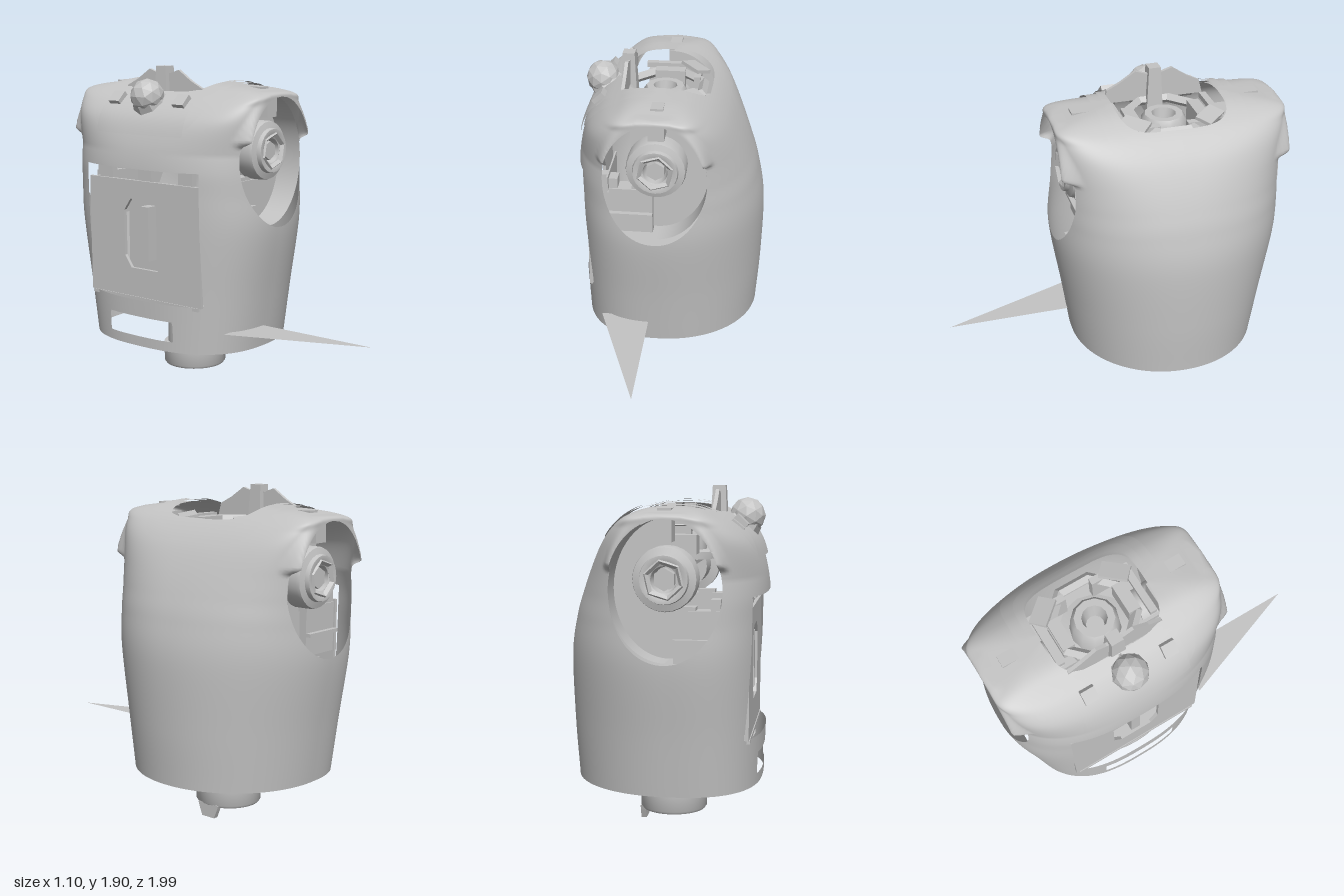
import * as THREE from 'three';
import { mergeVertices, toCreasedNormals } from 'three/addons/utils/BufferGeometryUtils.js';

const V = (x, y, z) => new THREE.Vector3(x, y, z);
const X0 = -0.05; // where the front and back halves of each section meet

// Body sections: y, front x, back x, half width, roundness exponent
const SECTIONS = [
  [0.28, 0.52, -0.525, 0.565, 2.05], [0.6, 0.54, -0.535, 0.612, 2.05], [0.98, 0.545, -0.545, 0.672, 2.1],
  [1.2, 0.508, -0.55, 0.675, 2.25], [1.34, 0.462, -0.55, 0.675, 2.4], [1.48, 0.4, -0.525, 0.672, 2.8],
  [1.6, 0.33, -0.475, 0.668, 3.6], [1.69, 0.25, -0.385, 0.665, 5], [1.75, 0.165, -0.28, 0.66, 7],
  [1.785, 0.08, -0.19, 0.5, 7], [1.8, -0.04, -0.06, 0.3, 6]];

// Superellipse distance, negative inside
const oval = (a, b, ra, rb, n) => Math.pow(Math.abs(a / ra) ** n + Math.abs(b / rb) ** n, 1 / n) - 1;
const shoulderHole = p => oval(p.x + 0.055, p.y - 1.37, 0.295, 0.37, 2);
const neckHole = p => p.y < 1.4 ? 1 : oval(p.x + 0.04, p.z, 0.26, 0.32, 4);
const collarArea = p => p.y < 1.4 ? -1 : -oval(p.x + 0.09, p.z, 0.41, 0.42, 6);
const insetArea = p => p.y < 1.4 ? -1 : -oval(p.x + 0.06, p.z, 0.33, 0.36, 5);
const rearArea = p => Math.min(-0.31 - p.x, 0.32 - Math.abs(p.z), p.y - 1.5);
const backRect = (y0, y1, w) => p => p.x > -0.3 ? 1 : Math.max(y0 - p.y, p.y - y1, Math.abs(p.z) - w);
const panelHole = backRect(0.56, 1.33, 0.42);
const slotHole = backRect(0.34, 0.46, 0.24);

// Cuts a polygon, keeping the part where f is positive
function clip(poly, f) {
  const out = [];
  poly.forEach((a, i) => {
    const b = poly[(i + 1) % poly.length], ka = f(a) > 0, kb = f(b) > 0;
    if (ka) out.push(a);
    if (ka !== kb) {
      let lo = 0, hi = 1;
      for (let k = 0; k < 12; k++) {
        const m = (lo + hi) / 2;
        if ((f(a.clone().lerp(b, m)) > 0) === ka) lo = m; else hi = m;
      }
      out.push(a.clone().lerp(b, (lo + hi) / 2));
    }
  });
  return out;
}

// Lofted body surface, cut by the given rules and optionally lifted outward
function shellGeometry(cuts, lift = 0) {
  const mk = f => new THREE.CatmullRomCurve3(SECTIONS.map(f), false, 'catmullrom', 0.5);
  const ca = mk(s => V(s[0], s[1], s[2])), cb = mk(s => V(s[0], s[3], s[4]));
  const rows = 100, cols = 144;
  const at = (i, j) => {
    const a = ca.getPoint(i / rows), b = cb.getPoint(i / rows);
    const t = (j % cols) / cols * Math.PI * 2, c = Math.cos(t), s = Math.sin(t);
    const n = c > 0 ? b.z : Math.max(b.z, 2.6);
    const ext = c > 0 ? a.y - X0 : X0 - a.z;
    const p = V(X0 + Math.sign(c) * ext * Math.abs(c) ** (2 / n), a.x, Math.sign(s) * b.y * Math.abs(s) ** (2 / n));
    // Upper rim of the shoulder opening flares out to a flat plane
    if (p.y < 1.77 && Math.abs(p.z) > 0.4) {
      const flare = THREE.MathUtils.smoothstep(p.y, 1.47, 1.51) * (1 - THREE.MathUtils.smoothstep(shoulderHole(p), 0.02, 0.16));
      p.z = THREE.MathUtils.lerp(p.z, Math.sign(p.z) * 0.67, flare);
    }
    return p;
  };
  const pos = [];
  for (let i = 0; i < rows; i++) for (let j = 0; j < cols; j++) {
    const a = at(i, j), b = at(i, j + 1), c = at(i + 1, j + 1), d = at(i + 1, j);
    for (const tri of [[a, d, c], [a, c, b]]) {
      let poly = tri;
      for (const f of cuts) if (poly.length) poly = clip(poly, f);
      for (let k = 1; k + 1 < poly.length; k++)
        for (const p of [poly[0], poly[k], poly[k + 1]]) pos.push(p.x + lift * Math.sign(p.x - X0) * 0.5, p.y + lift, p.z);
    }
  }
  const g = new THREE.BufferGeometry();
  g.setAttribute('position', new THREE.Float32BufferAttribute(pos, 3));
  const m = mergeVertices(g, 1e-5);
  m.computeVertexNormals();
  return m;
}

export function createModel() {
  const model = new THREE.Group();
  model.name = 'robotTorso';
  model.position.z = -0.325;
  const grey = new THREE.MeshStandardMaterial({ color: 0xc4c4c4, side: THREE.DoubleSide });
  grey.name = 'grey';

  const add = (name, geo, x = 0, y = 0, z = 0) => {
    const m = new THREE.Mesh(geo, grey);
    m.name = name;
    m.position.set(x, y, z);
    model.add(m);
    return m;
  };
  const box = (name, x0, x1, y0, y1, z0, z1) => add(name, new THREE.BoxGeometry(x1 - x0, y1 - y0, z1 - z0),
    (x0 + x1) / 2, (y0 + y1) / 2, (z0 + z1) / 2);
  const lathe = (pts, seg) => toCreasedNormals(
    new THREE.LatheGeometry(pts.map(p => new THREE.Vector2(...p)), seg), 0.7);
  // Plate drawn in z and y, with its thickness running towards -x
  const plate = (name, shape, depth, x) => {
    const g = new THREE.ExtrudeGeometry(shape, { depth, bevelEnabled: false });
    add(name, g.rotateY(-Math.PI / 2), x);
  };
  const polygon = (pts, Type = THREE.Shape) => new Type(pts.map(p => new THREE.Vector2(...p)));

  // Outer shell, collar layers round the neck and the raised rear pad
  add('bodyShell', shellGeometry([shoulderHole, neckHole, panelHole, slotHole]));
  add('neckCollar', shellGeometry([neckHole, collarArea], 0.01));
  add('collarInset', shellGeometry([neckHole, insetArea], 0.018));
  add('rearPad', shellGeometry([rearArea], 0.024));

  // Shoulder sockets, one on each side
  for (const s of [1, -1]) {
    const joint = add('shoulderJoint', lathe([[0, 0.5], [0.06, 0.5], [0.07, 0.6], [0.1, 0.615], [0.125, 0.615],
      [0.13, 0.59], [0.165, 0.58], [0.17, 0.56], [0.17, 0.47], [0.12, 0.46], [0.12, 0.25], [0, 0.25]], 24), -0.05, 1.43);
    joint.rotation.x = s * Math.PI / 2;
    const nut = add('jointNut', toCreasedNormals(new THREE.CylinderGeometry(0.055, 0.06, 0.08, 6), 0.3), -0.05, 1.43, s * 0.55);
    nut.rotation.x = Math.PI / 2;
    const ring = add('jointRing', toCreasedNormals(new THREE.TorusGeometry(0.1, 0.018, 4, 6), 0.2), -0.05, 1.43, s * 0.605);
    ring.rotation.z = 0.3;

    // Half cup closing the front of the socket
    const half = new THREE.Shape();
    half.moveTo(-0.08, 1.0).lineTo(-0.055, 1.0);
    half.absellipse(-0.055, 1.37, 0.295, 0.37, -Math.PI / 2, Math.PI / 2, false);
    half.lineTo(-0.08, 1.74);
    add('socketPlate', new THREE.ExtrudeGeometry(half, { depth: 0.01, bevelEnabled: false, curveSegments: 32 }), 0, 0, s * 0.44 - 0.005);
    const wall = new THREE.CylinderGeometry(1, 1, 0.16, 40, 1, true, 0, Math.PI);
    wall.rotateX(Math.PI / 2);
    wall.scale(0.295, 0.37, 1);
    add('socketWall', wall, -0.055, 1.37, s * 0.52);

    // Frame pieces visible behind the joint
    box('socketFrame', -0.34, -0.08, 0.98, 1.23, s * 0.46 - 0.03, s * 0.46 + 0.03);
    box('socketRib', -0.34, -0.08, 1.09, 1.11, s * 0.5 - 0.02, s * 0.5 + 0.02);
    box('socketRail', -0.33, -0.07, 1.23, 1.26, s * 0.45 - 0.05, s * 0.45 + 0.05);
    box('socketClip', -0.2, -0.1, 1.23, 1.28, s * 0.45 - 0.04, s * 0.45 + 0.04);
    box('socketClip', -0.33, -0.28, 1.26, 1.32, s * 0.45 - 0.04, s * 0.45 + 0.04);
    box('jointBracket', -0.2, -0.02, 1.55, 1.65, s * 0.4 - 0.06, s * 0.4 + 0.06);
    box('topBracket', -0.09, 0, 1.62, 1.74, s * 0.54 - 0.06, s * 0.54 + 0.06);
    box('topTab', -0.08, -0.01, 1.765, 1.79, s * 0.5 - 0.05, s * 0.5 + 0.05);
  }

  // Back panel with an oblong recess, and the bars around it
  const panel = polygon([[-0.42, 0.56], [0.42, 0.56], [0.42, 1.25], [-0.42, 1.25]]);
  panel.holes.push(polygon([[-0.15, 0.8], [-0.1, 0.73], [0.1, 0.73], [0.15, 0.8],
    [0.15, 1.07], [0.1, 1.14], [-0.1, 1.14], [-0.15, 1.07]], THREE.Path));
  plate('backPanel', panel, 0.02, -0.455);
  box('panelRecess', -0.4, -0.39, 0.7, 1.16, -0.18, 0.18);
  box('panelBar', -0.47, -0.4, 0.78, 1.1, -0.03, 0.03);
  box('panelLedge', -0.48, -0.42, 0.54, 0.56, -0.4, 0.4);
  for (const z of [-0.3, 0, 0.3]) box('panelLatch', -0.46, -0.42, 1.25, 1.34, z - 0.05, z + 0.05);

  // Neck joint inside the collar
  add('neckJoint', lathe([[0, 1.6], [0.05, 1.6], [0.07, 1.7], [0.11, 1.7], [0.13, 1.67], [0.14, 1.55],
    [0.2, 1.54], [0.2, 1.5], [0, 1.5]], 12), -0.06);
  add('neckFloor', new THREE.BoxGeometry(0.36, 0.03, 0.7), 0.02, 1.49);
  const octagon = add('neckRing', toCreasedNormals(new THREE.TorusGeometry(0.23, 0.03, 4, 8), 0.2), -0.05, 1.69);
  octagon.rotation.set(Math.PI / 2, 0, Math.PI / 8);
  for (const s of [1, -1]) {
    box('neckBlock', -0.14, 0.04, 1.6, 1.72, s * 0.2 - 0.035, s * 0.2 + 0.035);
    box('neckArm', -0.2, 0.1, 1.7, 1.73, s * 0.28 - 0.02, s * 0.28 + 0.02);
    box('neckPost', 0.1, 0.14, 1.55, 1.72, s * 0.14 - 0.06, s * 0.14 + 0.06);
    const cornerFlap = box('collarFlap', -0.07, 0.09, -0.01, 0.01, -0.05, 0.05);
    cornerFlap.position.set(0.1, 1.73, s * 0.22);
    cornerFlap.rotation.set(s * 0.3, s * 0.8, -0.3);
    const rearBlock = box('rearBlock', -0.04, 0.04, -0.05, 0.05, -0.04, 0.04);
    rearBlock.position.set(-0.39, 1.69, s * 0.24);
    rearBlock.rotation.z = 0.75;
  }

  // Rear collar wall with its peak, and the faceted knob behind it
  plate('rearWall', polygon([[-0.3, 1.7], [0.3, 1.7], [0.28, 1.78], [0.2, 1.82], [0.11, 1.88], [0.05, 1.86],
    [-0.05, 1.86], [-0.11, 1.88], [-0.2, 1.82], [-0.28, 1.78]]), 0.02, -0.26);
  const peak = add('rearPeak', toCreasedNormals(new THREE.CylinderGeometry(0.05, 0.07, 0.28, 4), 0.3), -0.27, 1.76, 0);
  peak.rotation.y = Math.PI / 4;
  add('rearKnob', toCreasedNormals(new THREE.IcosahedronGeometry(0.1, 1), 0.2), -0.425, 1.735);
  const knobBase = add('knobBase', toCreasedNormals(new THREE.CylinderGeometry(0.09, 0.12, 0.1, 8), 0.3), -0.4, 1.69);
  knobBase.rotation.z = 0.7;

  // Waist column, collar ring and stop tab
  add('waistColumn', lathe([[0, 0.1], [0.13, 0.1], [0.15, 0.07], [0.18, 0.065], [0.19, 0.08], [0.19, 0.195],
    [0.165, 0.2], [0.165, 0.5]], 40), -0.015);
  add('waistSocket', new THREE.TorusGeometry(0.09, 0.025, 6, 16), -0.015, 0.09).rotation.x = Math.PI / 2;
  plate('stopTab', polygon([[-0.075, 0.08], [-0.065, 0.05], [-0.045, 0], [0.045, 0], [0.065, 0.05], [0.075, 0.08]]), 0.03, 0.17);

  // Inner deck with ribs and small components
  const deck = new THREE.CylinderGeometry(1, 1, 0.02, 48);
  deck.scale(0.48, 1, 0.54);
  add('innerDeck', deck, 0, 0.5);
  for (let i = 0; i < 5; i++) box('deckRib', -0.3, 0.38, 0.45, 0.49, -0.32 + i * 0.16, -0.3 + i * 0.16);
  for (let i = 0; i < 4; i++) for (let j = 0; j < 3; j++)
    box('deckComponent', -0.34 + j * 0.07, -0.3 + j * 0.07, 0.42, 0.49, -0.3 + i * 0.08, -0.25 + i * 0.08);

  // Thin pointed blade low on the side
  const bladeGeo = new THREE.ShapeGeometry(polygon([[-0.1, 1.315], [-0.39, 0.52], [-0.1, 0.52]]));
  bladeGeo.rotateX(Math.PI / 2);
  add('sideBlade', bladeGeo, 0, 0.41);

  return model;
}
